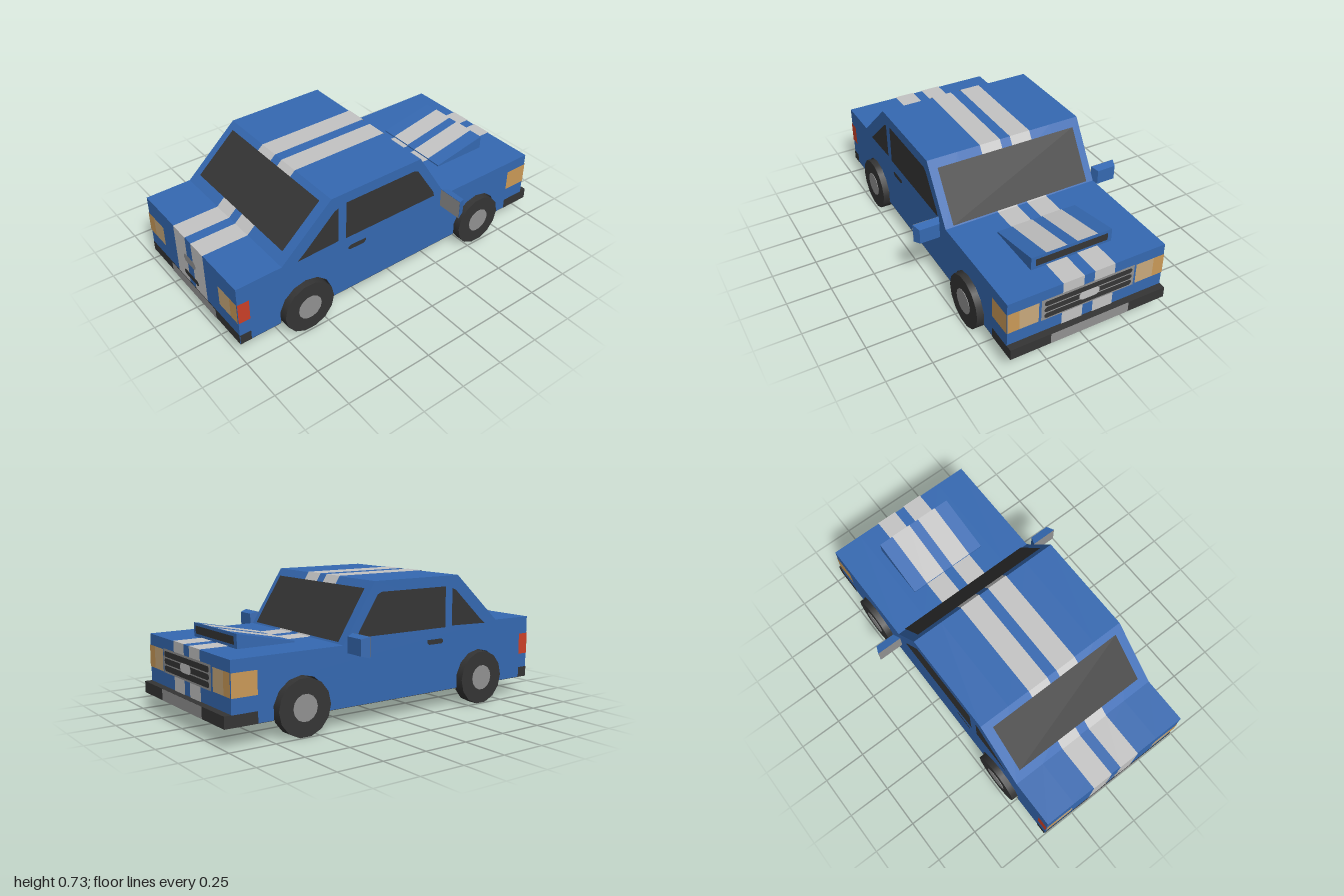
import * as THREE from 'three';

const mat = (name, color, side = THREE.DoubleSide) => {
  const m = new THREE.MeshStandardMaterial({ color, side });
  m.name = name;
  return m;
};

const W = 0.455, WELL = 0.28;      // half width, inner wall of the wheel wells
const AXLES = [0.605, -0.575];

export function createModel() {
  const car = new THREE.Group();
  car.name = 'car';
  const blue = mat('blue paint', 0x3569b2), stripe = mat('stripe silver', 0xc4c4c4);
  const dark = mat('dark trim', 0x353535), grey = mat('grey metal', 0x929292);
  const amber = mat('amber lamp', 0xcb9a58), tan = mat('pale lamp', 0xc9aa7c);
  const red = mat('red lamp', 0xcc4028);

  const add = (name, geometry, material) => {
    const mesh = new THREE.Mesh(geometry, material);
    mesh.name = name;
    car.add(mesh);
    return mesh;
  };

  // Flat-faced band following [z, y] points, spanning x0..x1
  const ribbon = (name, pts, x0, x1, material) => {
    const p = [];
    for (let i = 0; i < pts.length - 1; i++) {
      const [za, ya] = pts[i], [zb, yb] = pts[i + 1];
      p.push(x0, ya, za, x1, ya, za, x1, yb, zb, x0, ya, za, x1, yb, zb, x0, yb, zb);
    }
    const g = new THREE.BufferGeometry();
    g.setAttribute('position', new THREE.Float32BufferAttribute(p, 3));
    g.computeVertexNormals();
    return add(name, g, material);
  };

  const toShape = pts => new THREE.Shape(pts.map(([a, b]) => new THREE.Vector2(a, b)));
  // Flat panel in the side plane, outlined by [z, y] points
  const sidePanel = (name, pts, x, material) => {
    const g = new THREE.ShapeGeometry(toShape(x > 0 ? pts.map(([z, y]) => [-z, y]) : pts));
    g.rotateY(x > 0 ? Math.PI / 2 : -Math.PI / 2);
    g.translate(x, 0, 0);
    return add(name, g, material);
  };
  const rect = (z0, z1, y0, y1) => [[z0, y0], [z1, y0], [z1, y1], [z0, y1]];
  // Solid with a [z, y] outline, spanning x0..x1
  const slab = (name, pts, x0, x1, material) => {
    const g = new THREE.ExtrudeGeometry(toShape(pts), { depth: x1 - x0, bevelEnabled: false });
    g.rotateY(-Math.PI / 2);
    g.translate(x1, 0, 0);
    return add(name, g, material);
  };
  // Flat pill on the front or rear face
  const pill = (name, w, h, y, z, material) => {
    const r = h / 2, s = new THREE.Shape();
    s.absarc(w / 2 - r, 0, r, -Math.PI / 2, Math.PI / 2);
    s.absarc(-w / 2 + r, 0, r, Math.PI / 2, Math.PI * 1.5);
    const g = new THREE.ShapeGeometry(s, 6);
    if (z < 0) g.rotateY(Math.PI);
    g.translate(0, y, z);
    return add(name, g, material);
  };

  // Body: centre slab plus side slabs notched for the wheels
  const top = [[1, 0.105], [1, 0.46], [0.74, 0.463], [0.44, 0.735], [-0.13, 0.735],
    [-0.325, 0.425], [-0.96, 0.425], [-0.96, 0.105]];
  const arch = (zc, r) => Array.from({ length: 9 }, (_, i) => {
    const a = Math.PI + 0.25 - (Math.PI + 0.5) * i / 8;
    return [zc + r * Math.cos(a), 0.145 + r * Math.sin(a)];
  });
  const notched = [...top, ...arch(AXLES[1], 0.162), ...arch(AXLES[0], 0.162)];
  slab('bodyCentre', top, -WELL, WELL, blue);
  slab('bodyLeft', notched, WELL, W, blue);
  slab('bodyRight', notched, -W, -WELL, blue);

  // Dark floor with openings for the wheels
  const floor = toShape([[-W, -1], [W, -1], [W, 0.96], [-W, 0.96]]);
  for (const z of AXLES) for (const s of [-1, 1]) {
    const a = s * WELL, b = s * (W - 0.001);
    floor.holes.push(new THREE.Path([[a, -z - 0.157], [b, -z - 0.157], [b, -z + 0.157], [a, -z + 0.157]]
      .map(([x, y]) => new THREE.Vector2(x, y))));
  }
  const floorGeo = new THREE.ShapeGeometry(floor);
  floorGeo.rotateX(-Math.PI / 2);
  const under = floorGeo.index.array;      // turn the faces downward
  for (let i = 0; i < under.length; i += 3) [under[i], under[i + 1]] = [under[i + 1], under[i]];
  floorGeo.computeVertexNormals();
  floorGeo.translate(0, 0.103, 0);
  add('floor', floorGeo, dark);

  // Hood scoop with its intake
  slab('hoodScoop', [[-0.475, 0.425], [-0.475, 0.433], [-0.805, 0.5], [-0.805, 0.425]], -0.235, 0.235, blue);
  ribbon('scoopIntake', [[-0.808, 0.485], [-0.808, 0.443]], -0.21, 0.21, dark);

  // Twin stripes over the whole body and the scoop
  const o = 0.003;
  const stripePath = [[1 + o, 0.165], [1 + o, 0.46 + o], [0.74 + o, 0.463 + o], [0.44 + o, 0.735 + o],
    [-0.13 - o, 0.735 + o], [-0.325 - o, 0.425 + o], [-0.96 - o, 0.425 + o], [-0.96 - o, 0.165]];
  for (const [a, b] of [[0.03, 0.15], [-0.15, -0.03]]) {
    ribbon('bodyStripe', stripePath, a, b, stripe);
    ribbon('scoopStripe', [[-0.475, 0.436], [-0.805, 0.503]], a, b, stripe);
  }

  // Windscreen and rear window
  ribbon('rearWindow', [[0.699, 0.509], [0.474, 0.713]], -0.403, 0.403, dark);
  ribbon('windscreen', [[-0.162, 0.697], [-0.326, 0.436]], -0.41, 0.41, dark);

  // Tail and nose details
  pill('rearBadge', 0.12, 0.05, 0.325, 1.006, grey);
  pill('rearHandle', 0.145, 0.034, 0.219, 1.006, dark);
  ribbon('grilleFrame', [[-0.966, 0.372], [-0.966, 0.243]], -0.27, 0.27, grey);
  for (const y of [0.27, 0.308, 0.346]) pill('grilleBar', 0.51, 0.031, y, -0.969, dark);
  pill('frontBadge', 0.12, 0.05, 0.308, -0.972, stripe);

  // Bumpers: protruding at the front, flush at the rear
  const bumper = add('frontBumper', new THREE.BoxGeometry(2 * W + 0.004, 0.062, 0.04), dark);
  bumper.position.set(0, 0.135, -0.979);
  ribbon('frontBumperCentre', [[-1, 0.166], [-1, 0.104]], -0.23, 0.23, grey);
  ribbon('rearBumper', [[1.002, 0.105], [1.002, 0.165]], -W, W, dark);
  ribbon('rearBumperCentre', [[1.005, 0.105], [1.005, 0.165]], -0.23, 0.23, grey);

  for (const s of [-1, 1]) {
    const x = s * (W + 0.003);
    // Lamps wrapping round the corners
    for (const z of [1.004, -0.964]) {
      ribbon('lampInner', [[z, 0.245], [z, 0.365]], s * 0.283, s * 0.39, tan);
      ribbon('lampOuter', [[z, 0.245], [z, 0.365]], s * 0.39, s * W, amber);
    }
    sidePanel('tailLampSide', rect(0.935, 1, 0.243, 0.363), x, red);
    sidePanel('headLampSide', rect(-0.96, -0.82, 0.243, 0.363), x, amber);
    sidePanel('rearBumperSide', rect(0.937, 1, 0.105, 0.163), x, dark);
    sidePanel('frontBumperSide', rect(-0.98, -0.82, 0.105, 0.165), x, dark);

    // Side windows and door handle
    sidePanel('quarterWindow', [[0.65, 0.453], [0.4, 0.46], [0.4, 0.665], [0.425, 0.655], [0.61, 0.485]], x, dark);
    sidePanel('doorWindow', [[0.355, 0.455], [-0.24, 0.455], [-0.232, 0.485], [-0.115, 0.665], [-0.09, 0.678], [0.35, 0.678]], x, dark);
    sidePanel('doorHandle', [[0.325, 0.369], [0.24, 0.369], [0.225, 0.38], [0.225, 0.396], [0.325, 0.396], [0.338, 0.388], [0.338, 0.376]], x, dark);

    // Mirror: box tapering toward the front, with a grey glass
    const mirrorGeo = new THREE.BoxGeometry(0.146, 0.106, 0.044);
    const p = mirrorGeo.attributes.position;
    for (let i = 0; i < p.count; i++) {
      if (p.getZ(i) < 0) p.setXY(i, p.getX(i) * 0.76, p.getY(i) * 0.8);
    }
    const flat = mirrorGeo.toNonIndexed();
    flat.computeVertexNormals();
    add('mirror', flat, blue).position.set(s * 0.543, 0.433, -0.302);
    add('mirrorGlass', new THREE.PlaneGeometry(0.146, 0.106), grey).position.set(s * 0.543, 0.433, -0.278);

    for (const z of AXLES) {
      // Wheel well lining
      ribbon('wheelWell', arch(z, 0.16), s * WELL, s * (W + 0.001), dark);
      sidePanel('wheelWellWall', arch(z, 0.161), s * (WELL + 0.003), dark);
      // Tyre and hub
      const tyre = new THREE.CylinderGeometry(0.15, 0.15, 0.063, 14);
      tyre.rotateZ(Math.PI / 2);
      add('tyre', tyre, dark).position.set(s * 0.457, 0.15, z);
      const hub = new THREE.CylinderGeometry(0.07, 0.07, 0.006, 14);
      hub.rotateZ(Math.PI / 2);
      add('hub', hub, grey).position.set(s * 0.488, 0.15, z);
    }
  }
  return car;
}
